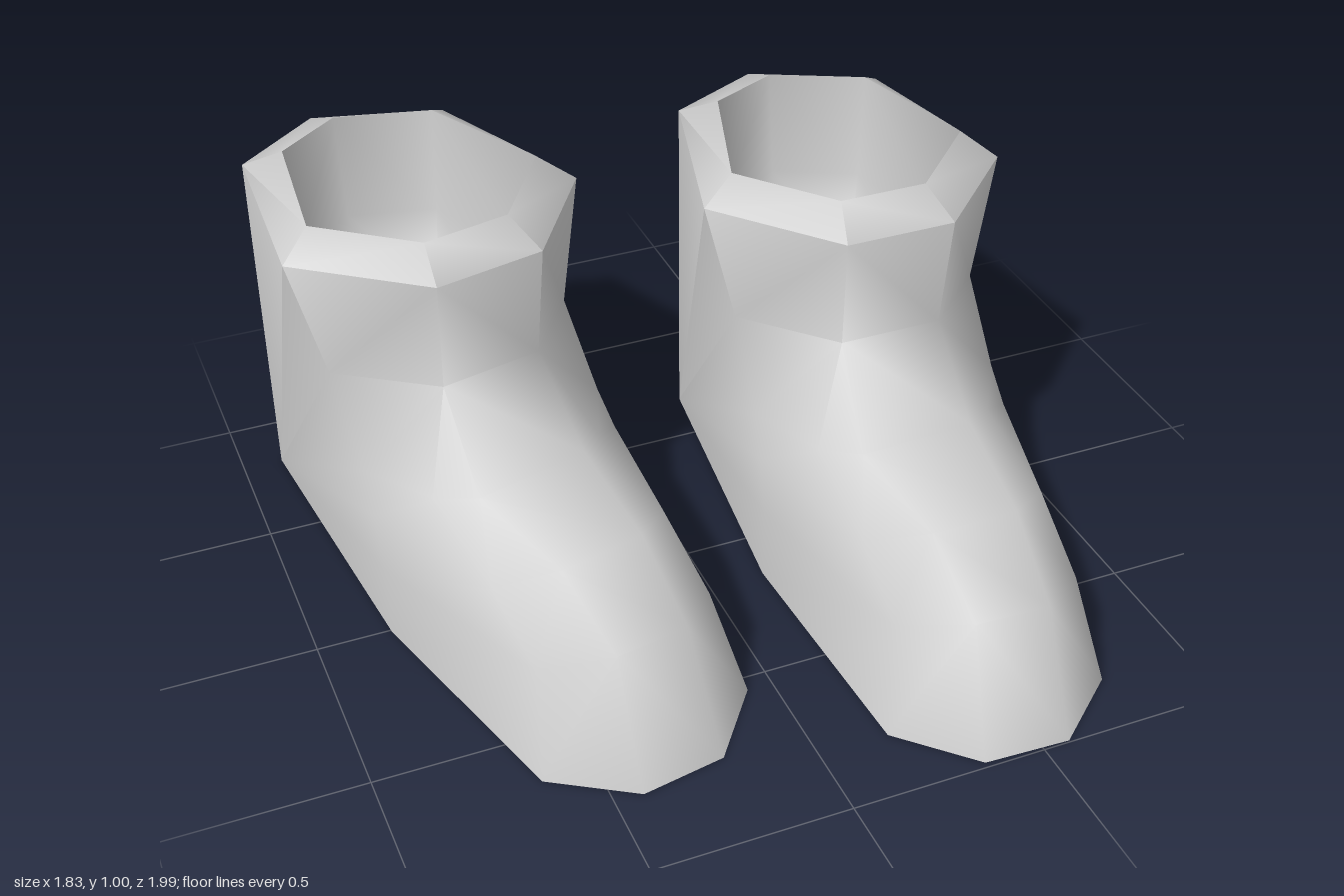
import * as THREE from 'three';
import { toCreasedNormals } from 'three/addons/utils/BufferGeometryUtils.js';

// Sole outline [x, z]: heel, outer heel, outer side, outer toe, two toe tips,
// inner toe, inner side, inner heel
const SOLE = [[0.51, -0.8], [0.82, -0.64], [0.845, 0.2], [0.755, 0.84], [0.57, 0.995],
  [0.35, 0.985], [0.18, 0.815], [0.15, 0.15], [0.25, -0.67]];

// Foot and ankle rows [x, y, z], outer side round the toe to inner side
const FOOT = [
  [[0.845, 0.2, 0.2], [0.71, 0.26, 0.74], [0.57, 0.3, 0.85], [0.38, 0.3, 0.84], [0.23, 0.25, 0.72], [0.15, 0.2, 0.15]],
  [[0.845, 0.34, 0.13], [0.73, 0.36, 0.52], [0.6, 0.41, 0.62], [0.38, 0.4, 0.61], [0.25, 0.33, 0.5], [0.165, 0.32, 0.08]],
  [[0.84, 0.42, 0.06], [0.74, 0.41, 0.22], [0.64, 0.45, 0.31], [0.34, 0.44, 0.31], [0.27, 0.4, 0.2], [0.175, 0.42, 0.03]],
  [[0.835, 0.62, -0.08], [0.64, 0.64, 0.11], [0.64, 0.64, 0.11], [0.37, 0.64, 0.11], [0.37, 0.64, 0.11], [0.185, 0.62, -0.13]],
];

// Seven-sided collar: outer edge and opening
const RIM = [[0.51, -0.8], [0.82, -0.64], [0.91, -0.12], [0.65, 0.135], [0.36, 0.135], [0.11, -0.16], [0.25, -0.67]];
const MOUTH = [[0.51, -0.66], [0.74, -0.55], [0.83, -0.18], [0.62, 0.03], [0.39, 0.03], [0.2, -0.2], [0.32, -0.57]];

const HEEL = new THREE.Vector3(0.51, 0, -0.8); // pivot of each boot

// Outline at height y, scaled about the shaft centre; 7 points gain doubled front corners
function level(outline, y, scale = 1) {
  const pts = outline.length === 7
    ? [0, 1, 2, 3, 3, 4, 4, 5, 6].map((i) => outline[i]) : outline;
  return pts.map(([x, z]) => new THREE.Vector3(
    0.52 + (x - 0.52) * scale, y, -0.27 + (z + 0.27) * scale));
}

function bootGeometry() {
  const sole = level(SOLE, 0);
  // The heel corners stay on the sole so the back wall runs straight up
  const foot = FOOT.map((row) => [
    sole[0], sole[1], ...row.map((p) => new THREE.Vector3(...p)), sole[8]]);
  const rings = [
    level(SOLE, 0, 0), // sole centre
    sole, ...foot,
    level(RIM, 0.937), level(MOUTH, 0.998), // bevelled collar
    level(MOUTH, 0.72, 0.92), level(MOUTH, 0.5, 0.72), level(MOUTH, 0.44, 0), // hollow shaft
  ];

  const pos = [];
  const tri = (a, b, c) => {
    const area = b.clone().sub(a).cross(c.clone().sub(a)).length();
    if (area < 1e-6) return;
    for (const p of [a, b, c]) pos.push(p.x - HEEL.x, p.y, p.z - HEEL.z);
  };
  for (let i = 0; i < rings.length - 1; i++) {
    for (let j = 0; j < 9; j++) {
      const k = (j + 1) % 9;
      const a = rings[i][j], b = rings[i][k], c = rings[i + 1][k], d = rings[i + 1][j];
      // Diagonals mirror between the outer and inner half
      if (j < 5) { tri(a, c, b); tri(a, d, c); }
      else { tri(a, d, b); tri(b, d, c); }
    }
  }
  const geo = new THREE.BufferGeometry();
  geo.setAttribute('position', new THREE.Float32BufferAttribute(pos, 3));
  return toCreasedNormals(geo, 1.15);
}

export function createModel() {
  const group = new THREE.Group();
  group.name = 'boots';
  const geo = bootGeometry();
  const mat = new THREE.MeshStandardMaterial({ color: 0xcccccc });

  const left = new THREE.Mesh(geo, mat);
  left.name = 'leftBoot';
  left.position.copy(HEEL);

  // Same boot, set back and turned inward
  const right = new THREE.Mesh(geo, mat);
  right.name = 'rightBoot';
  right.position.set(-0.67, 0, -1);
  right.rotation.y = 0.225;

  group.add(left, right);
  return group;
}
